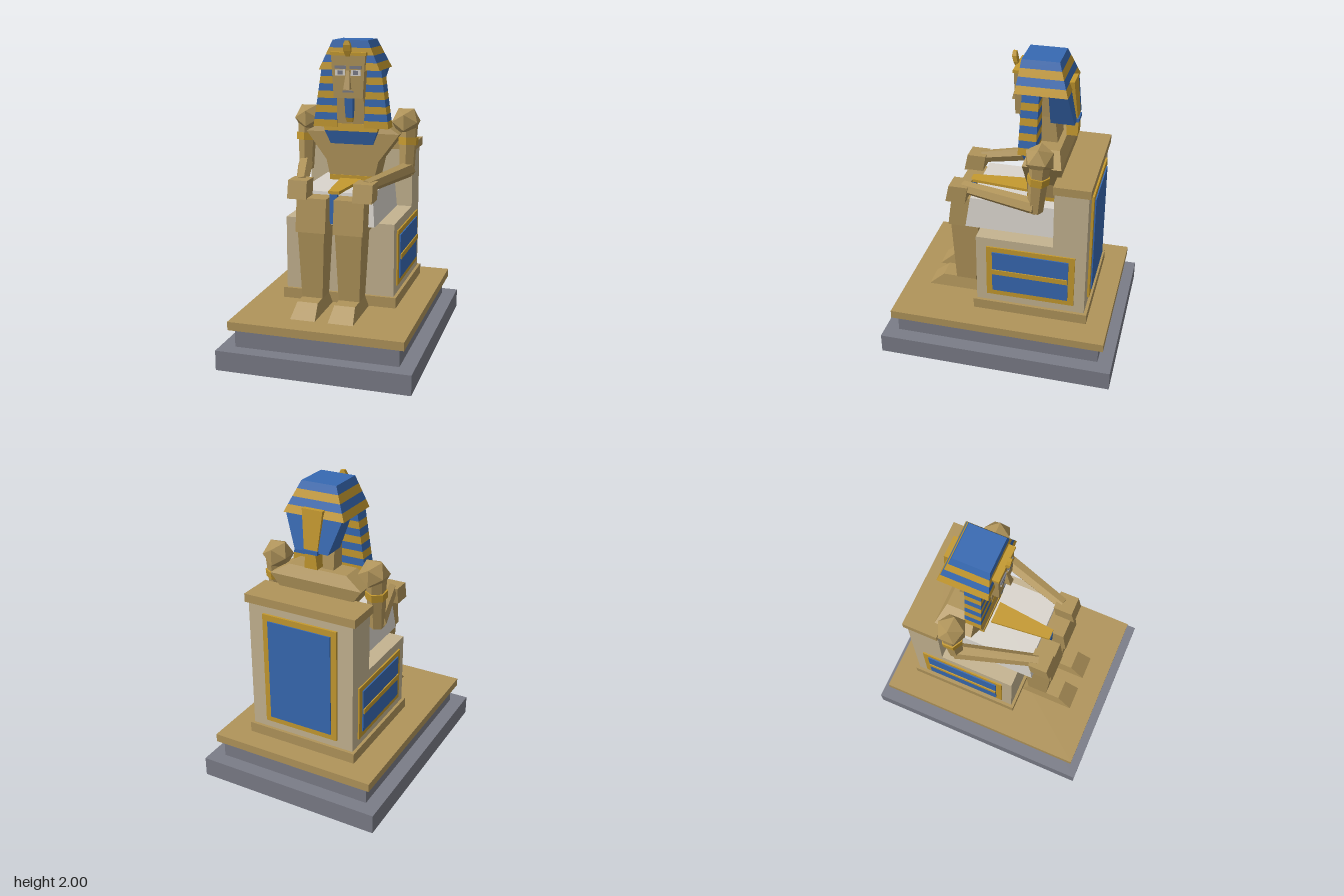
import * as THREE from 'three';

const mat = (name, color) => {
  const m = new THREE.MeshStandardMaterial({ color });
  m.name = name;
  return m;
};

export function createModel() {
  const root = new THREE.Group();
  root.name = 'seatedStatue';
  const sand = mat('sandstone', 0xb0945a);
  const stone = mat('paleStone', 0xc4b390);
  const slate = mat('slate', 0x7a7c87);
  const gold = mat('gold', 0xc4992f);
  const blue = mat('blue', 0x3769b2);
  const linen = mat('linen', 0xdad5cd);

  const add = (name, geo, material, parent = root) => {
    const flat = geo.index ? geo.toNonIndexed() : geo;
    flat.computeVertexNormals();
    const mesh = new THREE.Mesh(flat, material);
    mesh.name = name;
    parent.add(mesh);
    return mesh;
  };

  // Stack of rectangular sections, bottom to top: [y, x0, x1, z0, z1]
  const loft = (name, material, rings, parent) => {
    const pos = [], idx = [];
    for (const [y, x0, x1, z0, z1] of rings) pos.push(x0, y, z1, x1, y, z1, x1, y, z0, x0, y, z0);
    const quad = (a, b, c, d) => idx.push(a, b, c, a, c, d);
    for (let r = 0; r < rings.length - 1; r++) {
      for (let i = 0; i < 4; i++) {
        const j = (i + 1) % 4, o = r * 4;
        quad(o + i, o + j, o + 4 + j, o + 4 + i);
      }
    }
    const t = (rings.length - 1) * 4;
    quad(t, t + 1, t + 2, t + 3);
    quad(3, 2, 1, 0);
    const geo = new THREE.BufferGeometry();
    geo.setAttribute('position', new THREE.Float32BufferAttribute(pos, 3));
    geo.setIndex(idx);
    return add(name, geo, material, parent);
  };
  const box = (name, m, x0, x1, y0, y1, z0, z1, parent) =>
    loft(name, m, [[y0, x0, x1, z0, z1], [y1, x0, x1, z0, z1]], parent);
  // Section centred on x = 0
  const sym = (y, w, z0, z1) => [y, -w, w, z0, z1];
  // Section between inner and outer x on side s
  const side = (s, y, a, b, z0, z1) => (s > 0 ? [y, a, b, z0, z1] : [y, -b, -a, z0, z1]);

  // Tapered six-sided limb between two points
  const limb = (name, m, a, b, ra, rb, parent) => {
    const A = new THREE.Vector3(...a), d = new THREE.Vector3(...b).sub(A);
    const geo = new THREE.CylinderGeometry(rb, ra, d.length(), 6);
    const mesh = add(name, geo, m, parent);
    mesh.quaternion.setFromUnitVectors(new THREE.Vector3(0, 1, 0), d.clone().normalize());
    mesh.position.copy(A).addScaledVector(d, 0.5);
  };

  // Stepped plinth
  box('plinthBottom', slate, -0.625, 0.625, 0, 0.13, -0.775, 0.775);
  box('plinthMiddle', slate, -0.53, 0.53, 0.13, 0.25, -0.68, 0.68);
  box('plinthTop', sand, -0.565, 0.565, 0.25, 0.305, -0.715, 0.715);

  // Throne
  box('throneFoot', sand, -0.385, 0.385, 0.305, 0.375, -0.57, 0.19);
  box('throneSeat', stone, -0.365, 0.365, 0.375, 0.86, -0.55, 0.17);
  box('throneBack', stone, -0.365, 0.365, 0.86, 1.255, -0.55, -0.335);
  box('throneCap', sand, -0.385, 0.385, 1.255, 1.31, -0.565, -0.33);
  box('backFrame', gold, -0.26, 0.26, 0.43, 1.2, -0.565, -0.55);
  box('backPanel', blue, -0.22, 0.22, 0.47, 1.16, -0.573, -0.565);

  // Kilt, belt and apron
  loft('kilt', linen, [sym(0.86, 0.26, -0.335, 0.27), sym(1.065, 0.24, -0.335, 0.24)]);
  box('belt', gold, -0.155, 0.155, 1.065, 1.1, -0.335, -0.115);
  const apron = new THREE.Shape([[-0.075, 0.1], [-0.035, -0.295], [0.035, -0.295], [0.075, 0.1]]
    .map(p => new THREE.Vector2(...p)));
  add('apron', new THREE.ExtrudeGeometry(apron, { depth: 0.02, bevelEnabled: false })
    .rotateX(-Math.PI / 2).translate(0, 1.063, 0), gold);
  box('apronTail', blue, -0.025, 0.025, 0.87, 1.063, 0.27, 0.298);

  // Torso, neck and collar
  loft('torso', sand, [sym(1.07, 0.15, -0.33, -0.12), sym(1.2, 0.18, -0.34, -0.12),
    sym(1.39, 0.32, -0.365, -0.12), sym(1.46, 0.2, -0.33, -0.14)]);
  loft('neck', sand, [sym(1.42, 0.095, -0.3, -0.09), sym(1.66, 0.09, -0.27, -0.07)]);
  loft('collarBlue', blue, [sym(1.315, 0.145, -0.14, -0.105), sym(1.405, 0.18, -0.14, -0.08)]);
  loft('collarGold', gold, [sym(1.405, 0.18, -0.16, -0.08), sym(1.455, 0.19, -0.18, -0.085)]);

  // Mirrored parts: side panels, legs, arms
  for (const s of [-1, 1]) {
    const g = new THREE.Group();
    g.name = s > 0 ? 'leftSide' : 'rightSide';
    root.add(g);
    const pair = (name, m, y0, y1, a, b, z0, z1) =>
      loft(name, m, [side(s, y0, a, b, z0, z1), side(s, y1, a, b, z0, z1)], g);
    pair('sideFrame', gold, 0.43, 0.8, 0.365, 0.375, -0.48, 0.1);
    pair('sidePanel', blue, 0.47, 0.765, 0.375, 0.383, -0.44, 0.06);
    pair('sideBar', gold, 0.6, 0.635, 0.383, 0.39, -0.44, 0.06);

    loft('foot', sand, [side(s, 0.305, 0.042, 0.205, 0.19, 0.56),
      side(s, 0.39, 0.055, 0.19, 0.23, 0.46)], g);
    loft('shin', sand, [side(s, 0.37, 0.055, 0.19, 0.23, 0.365),
      side(s, 0.84, 0.035, 0.21, 0.2, 0.385)], g);
    loft('knee', sand, [side(s, 0.83, 0.025, 0.22, 0.19, 0.4),
      side(s, 1.045, 0.025, 0.22, 0.1, 0.37)], g);

    const shoulder = add('shoulder', new THREE.IcosahedronGeometry(0.1), sand, g);
    shoulder.position.set(s * 0.34, 1.465, -0.235);
    limb('upperArm', sand, [s * 0.355, 1.11, -0.215], [s * 0.355, 1.44, -0.24], 0.05, 0.066, g);
    limb('armBand', gold, [s * 0.357, 1.31, -0.23], [s * 0.357, 1.36, -0.235], 0.069, 0.071, g);
    limb('forearm', sand, [s * 0.365, 1.145, -0.22], [s * 0.21, 1.125, 0.29], 0.053, 0.042, g);
    loft('hand', sand, [side(s, 1.04, 0.15, 0.275, 0.265, 0.395),
      side(s, 1.155, 0.15, 0.275, 0.245, 0.37)], g);
  }

  // Face
  const head = new THREE.Group();
  head.name = 'head';
  root.add(head);
  loft('face', sand, [sym(1.63, 0.098, -0.25, -0.025), sym(1.915, 0.115, -0.25, -0.02)], head);
  loft('nose', sand, [sym(1.69, 0.022, -0.03, 0.016), sym(1.81, 0.01, -0.03, -0.015)], head);
  box('mouth', slate, -0.037, 0.037, 1.668, 1.68, -0.026, -0.018, head);
  for (const s of [-1, 1]) {
    const plate = (name, m, a, b, y0, y1, z) =>
      loft(name, m, [side(s, y0, a, b, z - 0.008, z), side(s, y1, a, b, z - 0.008, z)], head);
    plate('brow', slate, 0.012, 0.09, 1.82, 1.84, -0.014);
    plate('eye', linen, 0.02, 0.085, 1.777, 1.814, -0.016);
    plate('pupil', slate, 0.037, 0.068, 1.783, 1.81, -0.013);
  }
  loft('beard', blue, [sym(1.5, 0.024, -0.09, -0.045), sym(1.63, 0.028, -0.08, -0.03)], head);
  loft('beardTip', gold, [sym(1.47, 0.018, -0.085, -0.055), sym(1.5, 0.024, -0.09, -0.045)], head);
  box('browBand', gold, -0.12, 0.12, 1.905, 1.925, -0.12, -0.014, head);
  loft('browOrnament', gold, [sym(1.9, 0.012, -0.025, -0.008), sym(1.935, 0.024, -0.02, 0.005),
    sym(1.975, 0.024, -0.012, 0.015), sym(2.0, 0.012, -0.01, 0.012)], head);

  // Striped headdress: bands cut from a section that blends from bottom to top
  const stripes = (name, bottom, top, n) => {
    const at = t => bottom.map((v, i) => v + (top[i] - v) * t);
    for (let i = 0; i < n; i++) {
      loft(name + (i + 1), i % 2 ? blue : gold, [at(i / n), at((i + 1) / n)], head);
    }
  };
  stripes('crownStripe', sym(1.81, 0.205, -0.37, -0.043), sym(2, 0.118, -0.3, -0.067), 4);
  for (const s of [-1, 1]) {
    stripes(s > 0 ? 'leftLappetStripe' : 'rightLappetStripe',
      side(s, 1.43, 0.092, 0.257, -0.19, -0.078), side(s, 1.81, 0.1, 0.203, -0.195, -0.09), 8);
  }

  // Back drape and tied tail
  loft('backDrape', blue, [sym(1.6, 0.115, -0.4, -0.25), sym(1.81, 0.19, -0.365, -0.25)], head);
  loft('tail', gold, [sym(1.6, 0.045, -0.408, -0.33), sym(1.86, 0.07, -0.382, -0.32)], head);
  box('tailTie', blue, -0.05, 0.05, 1.59, 1.615, -0.415, -0.33, head);
  loft('tailEnd', gold, [sym(1.495, 0.045, -0.408, -0.34), sym(1.59, 0.035, -0.41, -0.33)], head);

  return root;
}
